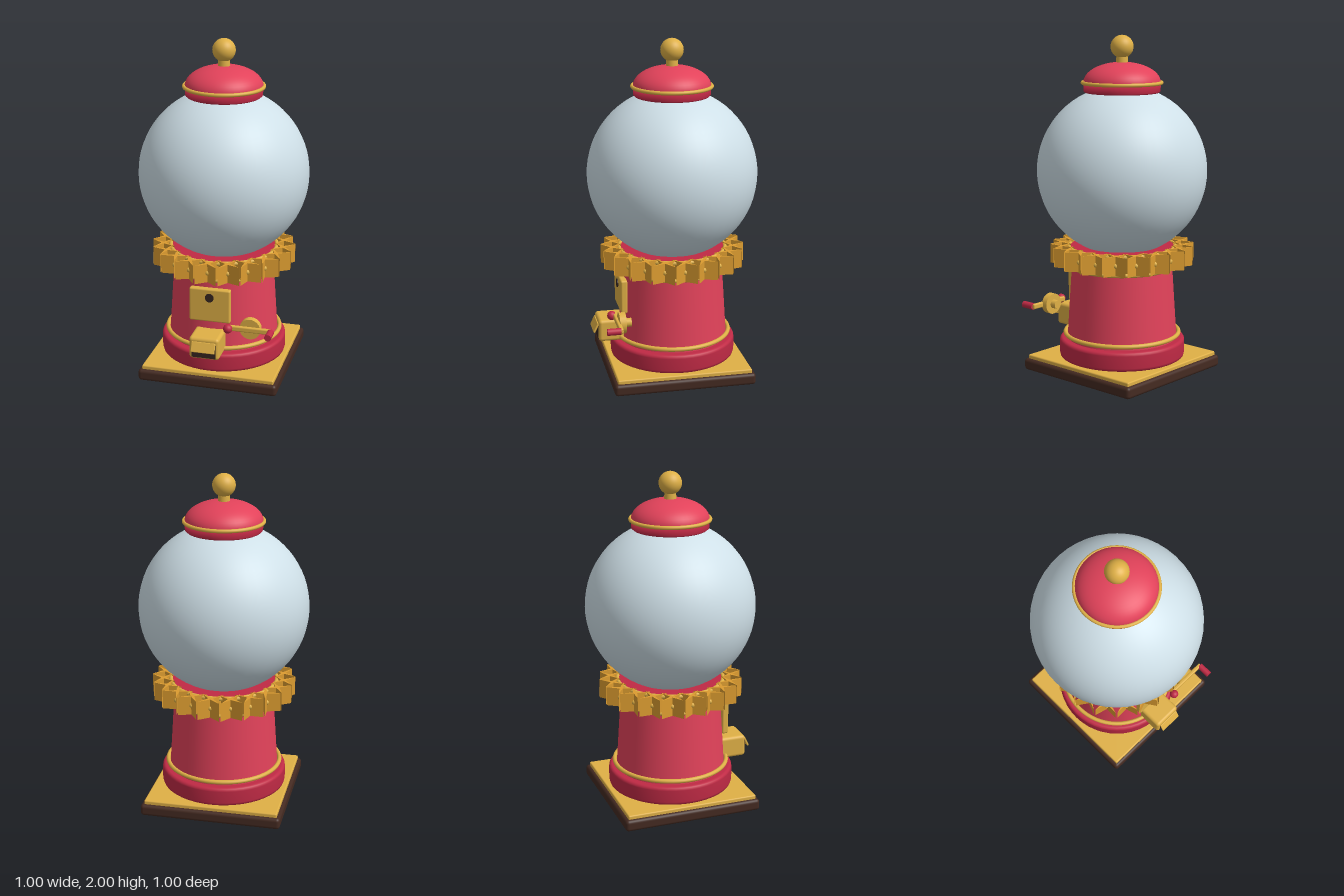
import * as THREE from 'three';
import { RoundedBoxGeometry } from 'three/addons/geometries/RoundedBoxGeometry.js';

const paint = (name, color) => {
  const m = new THREE.MeshStandardMaterial({ color });
  m.name = name;
  return m;
};

export function createModel() {
  const model = new THREE.Group();
  model.name = 'candyMachine';
  const red = paint('red', 0xe2425a);
  const darkRed = paint('deepRed', 0xc02a45);
  const gold = paint('gold', 0xdfb046);
  const amber = paint('amber', 0xdc9c30);
  const brown = paint('brown', 0x442a21);
  const dark = paint('darkHole', 0x35261f);
  const glass = paint('glass', 0xcfe0e8);

  const add = (name, geo, mat, x = 0, y = 0, z = 0) => {
    const m = new THREE.Mesh(geo, mat);
    m.name = name;
    m.position.set(x, y, z);
    model.add(m);
    return m;
  };
  const lathe = (name, pts, mat) =>
    add(name, new THREE.LatheGeometry(pts.map(p => new THREE.Vector2(...p)), 48), mat);
  const hoop = (name, r, tube, y) => {
    const g = new THREE.TorusGeometry(r, tube, 10, 64).rotateX(Math.PI / 2);
    return add(name, g, gold, 0, y);
  };
  // Round rod or disc along z, spanning z0 to z1
  const rodZ = (name, r, z0, z1, mat, x, y) =>
    add(name, new THREE.CylinderGeometry(r, r, z1 - z0, 24).rotateX(Math.PI / 2), mat, x, y, (z0 + z1) / 2);

  // Square foot
  add('foot', new RoundedBoxGeometry(0.84, 0.07, 0.84, 3, 0.02), brown, 0, 0.035);
  add('footPlate', new RoundedBoxGeometry(0.8, 0.03, 0.8, 2, 0.008), gold, 0, 0.078);

  // Round pedestal
  const pedestal = [[0, 0.09], [0.36, 0.09], [0.371, 0.097], [0.375, 0.112]];
  for (let i = 0; i <= 4; i++) {
    const a = (i / 4) * Math.PI / 2;
    pedestal.push([0.355 + 0.02 * Math.cos(a), 0.185 + 0.02 * Math.sin(a)]);
  }
  pedestal.push([0, 0.205]);
  lathe('pedestal', pedestal, darkRed);

  // Tapered body with trim hoops
  add('body', new THREE.CylinderGeometry(0.298, 0.328, 0.46, 48), red, 0, 0.43);
  hoop('lowerTrim', 0.34, 0.013, 0.232);
  hoop('upperTrim', 0.305, 0.013, 0.645);

  // Collar holding the globe
  add('collar', new THREE.CylinderGeometry(0.316, 0.3, 0.105, 48), darkRed, 0, 0.71);
  hoop('collarTrim', 0.316, 0.013, 0.755);

  // Ring of four-pointed star posts, each with a rivet in its outer notch
  const star = new THREE.Shape();
  for (let i = 0; i < 8; i++) {
    const a = (i * Math.PI) / 4, r = i % 2 ? 0.0875 : 0.014;
    star[i ? 'lineTo' : 'moveTo'](Math.cos(a) * r, Math.sin(a) * r);
  }
  const post = new THREE.ExtrudeGeometry(star, { depth: 0.112, bevelEnabled: false }).rotateX(-Math.PI / 2);
  const rivet = new THREE.SphereGeometry(0.016, 12, 8);
  for (let i = 0; i < 20; i++) {
    const a = (i / 20) * Math.PI * 2, s = Math.sin(a), c = Math.cos(a);
    add('starPost', post, amber, s * 0.36, 0.661, c * 0.36).rotation.y = a;
    add('rivet', rivet, gold, s * 0.368, 0.717, c * 0.368);
  }

  // Globe
  add('globe', new THREE.SphereGeometry(0.5, 48, 36), glass, 0, 1.21);

  // Lid and knob
  lathe('lidBand', [[0, 1.668], [0.215, 1.668], [0.224, 1.676], [0.226, 1.725], [0, 1.725]], darkRed);
  const dome = [];
  for (let i = 0; i <= 14; i++) {
    const a = (i / 14) * Math.PI / 2;
    dome.push([0.226 * Math.cos(a), 1.725 + 0.12 * Math.sin(a)]);
  }
  lathe('lidDome', dome, red);
  hoop('lidTrim', 0.23, 0.011, 1.725);
  add('knobNeck', new THREE.CylinderGeometry(0.032, 0.036, 0.06, 24), gold, 0, 1.865);
  add('knob', new THREE.SphereGeometry(0.067, 32, 20), gold, 0, 1.933);

  // Coin plate
  add('coinPlate', new RoundedBoxGeometry(0.245, 0.205, 0.04, 2, 0.01), gold, 0, 0.495, 0.312);
  rodZ('coinHole', 0.026, 0.31, 0.338, dark, 0, 0.545);

  // Crank on the model's left
  rodZ('crankShaft', 0.026, 0.295, 0.35, gold, 0.25, 0.39);
  rodZ('crankDisc', 0.062, 0.33, 0.368, gold, 0.25, 0.39);
  add('crankArm', new RoundedBoxGeometry(0.265, 0.032, 0.024, 2, 0.008), gold, 0.25, 0.39, 0.372);
  add('crankBall', new THREE.SphereGeometry(0.027, 16, 12), darkRed, 0.125, 0.39, 0.39);
  rodZ('crankHandle', 0.02, 0.375, 0.455, darkRed, 0.375, 0.39);

  // Candy chute with tilted flap
  add('chute', new RoundedBoxGeometry(0.18, 0.135, 0.18, 3, 0.02), gold, 0, 0.278, 0.372);
  add('chuteOpening', new THREE.BoxGeometry(0.142, 0.085, 0.008), dark, 0, 0.266, 0.461);
  const flap = add('chuteFlap', new RoundedBoxGeometry(0.142, 0.062, 0.012, 2, 0.004), gold, 0, 0.293, 0.475);
  flap.rotation.x = -0.45;

  return model;
}
